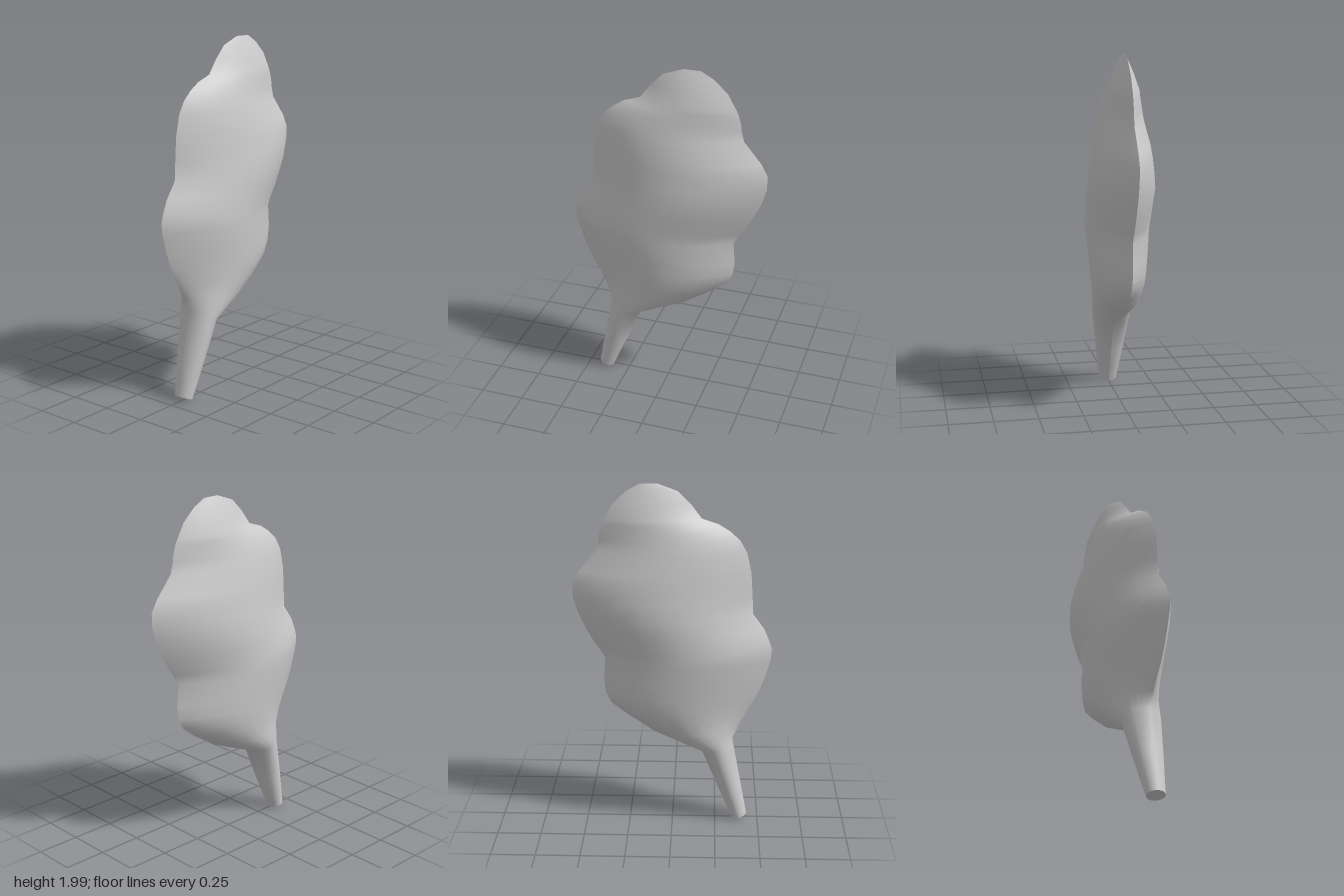
import * as THREE from 'three';

// Paired outline points, stem to tip: front z, front y, back z, back y
const ROWS = [
  [0.435, 0.04, 0.35, 0.01], [0.39, 0.28, 0.26, 0.225], [0.345, 0.52, 0.17, 0.44],
  [0.385, 0.6, -0.11, 0.56], [0.42, 0.67, -0.26, 0.66], [0.46, 0.74, -0.35, 0.73],
  [0.49, 0.8, -0.38, 0.79], [0.52, 0.88, -0.39, 0.87], [0.555, 1, -0.38, 1],
  [0.56, 1.06, -0.415, 1.06], [0.545, 1.11, -0.45, 1.11], [0.515, 1.18, -0.487, 1.18],
  [0.45, 1.27, -0.53, 1.27], [0.445, 1.36, -0.555, 1.36], [0.44, 1.44, -0.557, 1.44],
  [0.435, 1.51, -0.52, 1.51], [0.41, 1.62, -0.42, 1.63], [0.37, 1.69, -0.405, 1.69],
  [0.315, 1.74, -0.4, 1.73], [0.25, 1.78, -0.385, 1.78], [0.16, 1.81, -0.37, 1.81],
  [0.1, 1.89, -0.325, 1.89], [0.03, 1.96, -0.25, 1.96], [-0.08, 2, -0.18, 2],
];
// Half thickness by height
const THICKNESS = [[0, 0.05], [0.48, 0.115], [0.72, 0.15], [1, 0.176], [1.28, 0.183],
  [1.53, 0.15], [1.8, 0.087], [1.95, 0.03], [2, 0]];
const ACROSS = 14;

function halfThickness(y) {
  for (let i = 1; i < THICKNESS.length; i++) {
    const [y0, t0] = THICKNESS[i - 1], [y1, t1] = THICKNESS[i];
    if (y <= y1) return THREE.MathUtils.mapLinear(y, y0, y1, t0, t1);
  }
  return 0;
}

// Section points from front edge to back edge: round at the stem, lens-shaped above
function section([zf, yf, zb, yb], side) {
  const yMid = (yf + yb) / 2;
  const power = 0.5 + 0.5 * THREE.MathUtils.smoothstep(yMid, 0.3, 0.85);
  const points = [];
  for (let j = 0; j <= ACROSS; j++) {
    const u = -Math.cos(Math.PI * j / ACROSS), k = (u + 1) / 2;
    const x = side * halfThickness(yMid) * Math.pow(Math.max(0, 1 - u * u), power);
    points.push(new THREE.Vector3(x, yf + (yb - yf) * k, zf + (zb - zf) * k));
  }
  return points;
}

function geometryFrom(points, index) {
  const geometry = new THREE.BufferGeometry().setFromPoints(points);
  geometry.setIndex(index);
  geometry.computeVertexNormals();
  return geometry;
}

// One smooth half; the two halves meet in a sharp rim
function halfGeometry(side) {
  const points = ROWS.flatMap((row) => section(row, side));
  const index = [], n = ACROSS + 1;
  for (let i = 0; i < ROWS.length - 1; i++) {
    for (let j = 0; j < ACROSS; j++) {
      const a = i * n + j, b = a + 1, c = a + n, d = c + 1;
      if (side > 0) index.push(a, b, c, b, d, c);
      else index.push(a, c, b, b, c, d);
    }
  }
  return geometryFrom(points, index);
}

// Flat end of the stem
function capGeometry() {
  const ring = [...section(ROWS[0], 1), ...section(ROWS[0], -1).reverse().slice(1, -1)];
  const index = [];
  for (let i = 1; i < ring.length - 1; i++) index.push(0, i + 1, i);
  return geometryFrom(ring, index);
}

export function createModel() {
  const group = new THREE.Group();
  group.name = 'lobedLeaf';
  const material = new THREE.MeshStandardMaterial({ color: 0xcccccc, side: THREE.DoubleSide });
  const add = (name, geometry) => {
    const mesh = new THREE.Mesh(geometry, material);
    mesh.name = name;
    group.add(mesh);
  };
  add('leftHalf', halfGeometry(1));
  add('rightHalf', halfGeometry(-1));
  add('stemEnd', capGeometry());
  return group;
}
